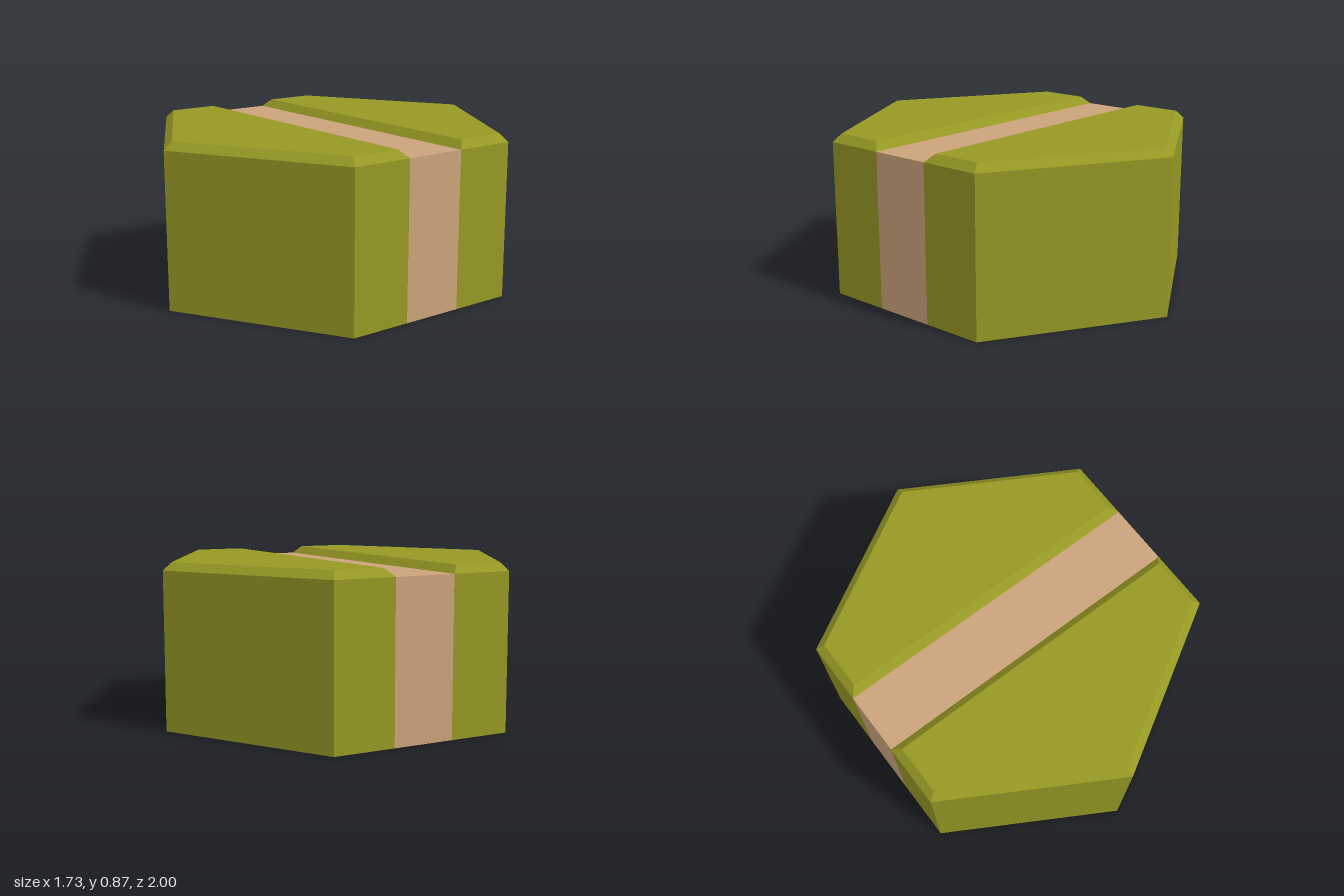
import * as THREE from 'three';

const W = 0.866;        // half width across the flats
const TOP = 0.866;      // height of the raised banks
const SHOULDER = 0.825; // height of the path and of the bevel's lower edge
const PATH = 0.167;     // half width of the path
const INSET = 0.041;    // bevel width

const green = new THREE.MeshStandardMaterial({ color: 0x969824 });
green.name = 'olive green';
const tan = new THREE.MeshStandardMaterial({ color: 0xcaa37b });
tan.name = 'earth tan';

// Half-hexagon bank: upright outer walls, bevelled rim and flat top
function bankGeometry() {
  const tip = INSET / Math.cos(Math.PI / 6);
  const slope = INSET * Math.tan(Math.PI / 6);
  const outer = [[-W, PATH], [-W, 0.5], [0, 1], [W, 0.5], [W, PATH]];
  const inner = [
    [-W + INSET, PATH + INSET], [-W + INSET, 0.5 - slope], [0, 1 - tip],
    [W - INSET, 0.5 - slope], [W - INSET, PATH + INSET],
  ];
  const ring = (pts, y) => pts.map(([x, z]) => [x, y, z]);
  const rings = [ring(outer, 0), ring(outer, SHOULDER), ring(inner, TOP)];
  const pos = [];
  const tri = (a, b, c) => pos.push(...a, ...b, ...c);
  for (let r = 0; r < 2; r++) {
    for (let i = 0; i < 5; i++) {
      if (r === 0 && i === 4) continue; // joined to the ground under the path
      const j = (i + 1) % 5;
      tri(rings[r][i], rings[r][j], rings[r + 1][j]);
      tri(rings[r][i], rings[r + 1][j], rings[r + 1][i]);
    }
  }
  for (let i = 1; i < 4; i++) tri(rings[2][0], rings[2][i], rings[2][i + 1]);
  const g = new THREE.BufferGeometry();
  g.setAttribute('position', new THREE.Float32BufferAttribute(pos, 3));
  g.computeVertexNormals();
  return g;
}

export function createModel() {
  const model = new THREE.Group();
  model.name = 'hexTile';
  const add = (name, geometry, material, parent = model) => {
    const mesh = new THREE.Mesh(geometry, material);
    mesh.name = name;
    parent.add(mesh);
    return mesh;
  };

  // Grassy banks, front and back
  const bank = bankGeometry();
  add('frontBank', bank, green);
  add('backBank', bank, green).rotation.y = Math.PI;

  // Sunken path: top strip and the cut faces at both ends
  const path = new THREE.Group();
  path.name = 'path';
  model.add(path);
  const strip = new THREE.PlaneGeometry(2 * W, 2 * PATH).rotateX(-Math.PI / 2);
  add('pathTop', strip, tan, path).position.y = SHOULDER;
  for (const side of [-1, 1]) {
    const end = new THREE.PlaneGeometry(2 * PATH, SHOULDER).rotateY(side * Math.PI / 2);
    add(side > 0 ? 'leftPathEnd' : 'rightPathEnd', end, tan, path)
      .position.set(side * W, SHOULDER / 2, 0);
  }

  // Underside
  const hex = new THREE.Shape([[0, 1], [-W, 0.5], [-W, -0.5], [0, -1], [W, -0.5], [W, 0.5]]
    .map(([x, y]) => new THREE.Vector2(x, y)));
  add('base', new THREE.ShapeGeometry(hex).rotateX(Math.PI / 2), green);

  return model;
}
